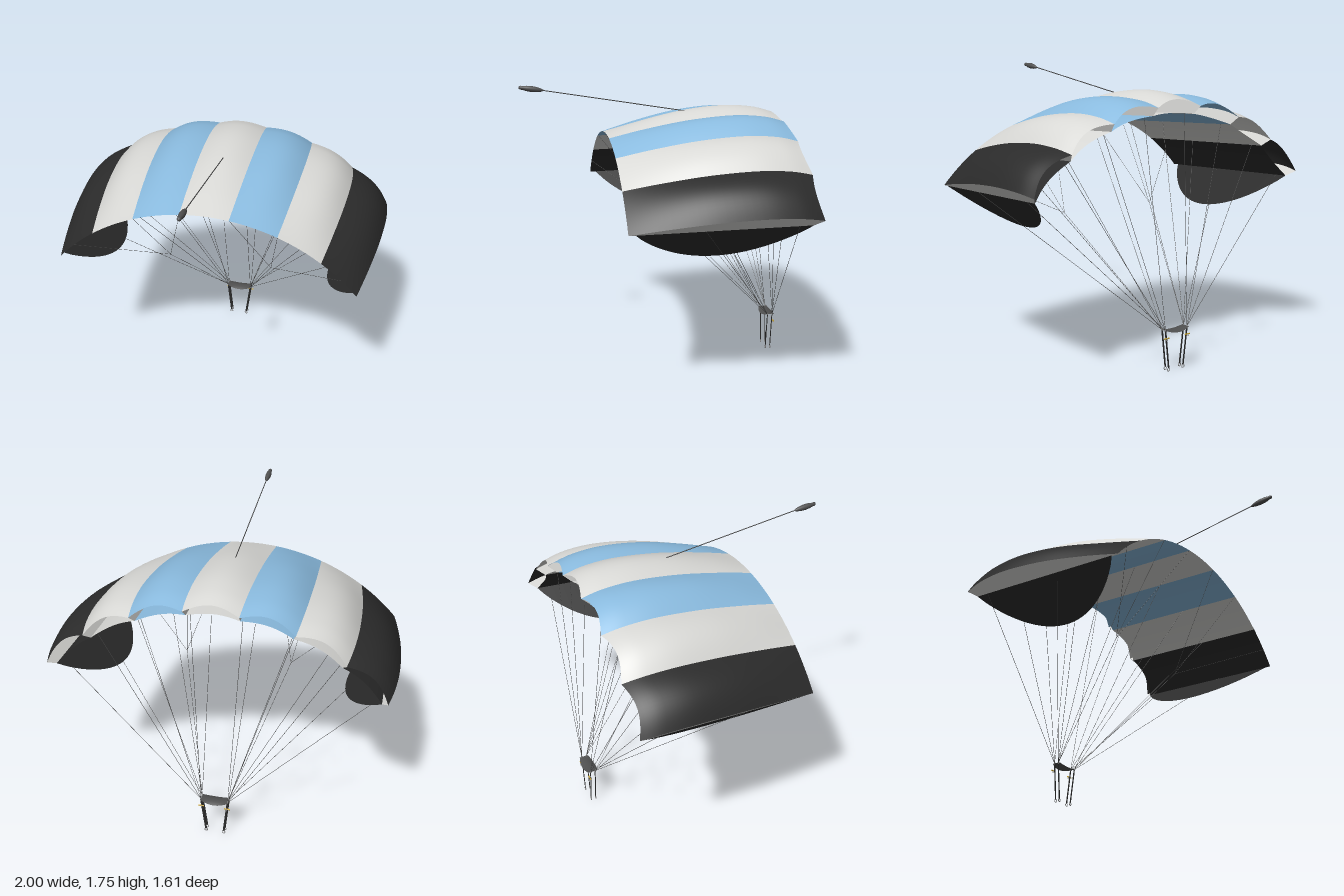
import * as THREE from 'three';
import { ParametricGeometry } from 'three/addons/geometries/ParametricGeometry.js';

const HUB_Y = 0.246;                      // the canopy arches around this height
const CELLS = 7, HALF = 0.8526, STEP = (2 * HALF) / CELLS;
const V = (x, y, z) => new THREE.Vector3(x, y, z);

const mat = (name, color) => {
  const m = new THREE.MeshStandardMaterial({ color, side: THREE.DoubleSide });
  m.name = name;
  return m;
};

// Point at an angle from vertical and a radius from the hub
const polar = (angle, r, z) => V(Math.sin(angle) * r, HUB_Y + Math.cos(angle) * r, z);

// Upper airfoil radius along the chord (0 trailing edge, 1 leading edge)
const PROFILE = [[0, 1.205], [0.2, 1.256], [0.45, 1.305], [0.7, 1.328], [0.88, 1.316], [1, 1.284]];
const profileCurve = new THREE.SplineCurve(PROFILE.map(p => new THREE.Vector2(...p)));
const profileAt = t => profileCurve.getPoint(t);

function topPoint(angle, t, puff) {
  const p = profileAt(t);
  const bulge = 0.032 * puff * Math.sin(Math.min(1, p.x * 1.5) * Math.PI / 2);
  return polar(angle, p.y + bulge, 0.28 - p.x * (1.07 - 0.028 * puff * p.x));
}

function bottomPoint(angle, t, puff) {
  const u = profileAt(t).x;
  return polar(angle, 1.205 + 0.031 * u, 0.28 - u * (1.02 - 0.028 * puff * u));
}

export function createModel() {
  const model = new THREE.Group();
  model.name = 'parachute';
  const white = mat('whiteFabric', 0xd9d9d6);
  const blue = mat('blueFabric', 0x8abbdf);
  const black = mat('blackFabric', 0x2b2b2b);
  const grey = mat('greyFabric', 0x505050);
  const cord = mat('cord', 0x484848);
  const metal = mat('metal', 0x8a8a8a);
  const yellow = mat('yellowToggle', 0xc9a227);

  const add = (name, geometry, material, parent = model) => {
    const mesh = new THREE.Mesh(geometry, material);
    mesh.name = name;
    parent.add(mesh);
    return mesh;
  };
  const surface = (name, fn, nu, nv, material, parent) => {
    const g = new ParametricGeometry((u, v, target) => target.copy(fn(u, v)), nu, nv);
    g.computeVertexNormals();
    return add(name, g, material, parent);
  };
  const rod = (name, a, b, r, material, parent, sides = 5) => {
    const mesh = add(name, new THREE.CylinderGeometry(r, r, a.distanceTo(b), sides), material, parent);
    mesh.position.copy(a).lerp(b, 0.5);
    mesh.quaternion.setFromUnitVectors(V(0, 1, 0), b.clone().sub(a).normalize());
    return mesh;
  };

  // Canopy cells, open at the leading edge
  const canopy = new THREE.Group();
  canopy.name = 'canopy';
  model.add(canopy);
  const colours = [black, white, blue, white, blue, white, black];
  colours.forEach((material, i) => {
    const start = -HALF + i * STEP;
    const skin = fn => (s, t) => fn(start + s * STEP, t, Math.sin(Math.PI * s));
    surface('upperSkin', skin(topPoint), 14, 28, material, canopy);
    surface('lowerSkin', skin(bottomPoint), 14, 16, material, canopy);
  });

  // Ribs between the cells, and the end walls
  for (let i = 0; i <= CELLS; i++) {
    const angle = -HALF + i * STEP;
    surface('rib', (t, s) => bottomPoint(angle, t, 0).lerp(topPoint(angle, t, 0), s), 28, 2, white, canopy);
  }

  for (const side of [-1, 1]) {
    const half = new THREE.Group();
    half.name = side > 0 ? 'leftRigging' : 'rightRigging';
    model.add(half);

    // Curved stabilizer panel hanging below the wing tip
    surface('stabilizer', (t, s) => {
      const z = 0.24 - 0.98 * t;
      const edge = 1.205 + 0.031 * (0.28 - z) / 1.02;
      return polar(side * HALF, edge - s * 0.315 * Math.pow(4 * t * (1 - t), 0.9), z);
    }, 28, 3, black, half);

    // Risers with a link on top and a ring at the foot
    const tops = [-0.785, -0.755].map(z => V(side * 0.082, 0.25, z));
    for (const top of tops) {
      const foot = V(side * 0.055, 0.025, top.z);
      const strap = rod('riser', foot, top, 0.006, black, half, 8);
      strap.scale.z = 0.4;
      rod('riserLink', top.clone().add(V(0, -0.006, 0)), top.clone().add(V(0, 0.008, 0)), 0.004, metal, half, 8);
      add('riserRing', new THREE.TorusGeometry(0.009, 0.0025, 6, 16), metal, half)
        .position.set(side * 0.055, 0.015, top.z);
    }

    // Steering toggle
    rod('toggle', V(side * 0.062, 0.205, -0.793), V(side * 0.098, 0.205, -0.793), 0.004, yellow, half, 8);
    const loop = add('toggleRing', new THREE.TorusGeometry(0.007, 0.002, 6, 14), metal, half);
    loop.position.set(side * 0.078, 0.2, -0.794);
    loop.rotation.y = Math.PI / 2;

    // Suspension lines from the risers to each seam
    for (let k = 0; k < 4; k++) {
      const angle = side * (0.5 + k) * STEP;
      const at = z => polar(angle, 1.205 + 0.031 * (0.28 - z) / 1.02, z);
      rod('frontLine', tops[0], at(-0.66), 0.0013, cord, half);
      rod('rearLine', tops[1], at(-0.14), 0.0013, cord, half);
    }

    // Brake lines fanning out to the trailing edge
    const node = V(side * 0.33, 0.87, -0.14);
    rod('brakeLine', tops[1], node, 0.0012, cord, half);
    for (const a of [0.5 * STEP, 1.5 * STEP, 0.745]) {
      rod('brakeBranch', node, polar(side * a, 1.205, 0.275), 0.0011, cord, half);
    }
  }

  // Slider: a sagging cloth between the risers
  surface('slider', (u, v) => {
    const x = 2 * u - 1, z = 2 * v - 1;
    return V(x * 0.085, 0.235 + 0.016 * x * x + 0.012 * (1 - z * z) * (1 - x * x),
      -0.77 + z * (0.028 + 0.014 * (1 - x * x)));
  }, 14, 8, grey);

  // Pilot chute trailing on its bridle
  const bridleEnd = V(0, 1.718, 0.65), tip = V(0, 1.738, 0.795);
  rod('bridle', V(0, 1.578, -0.21), bridleEnd, 0.003, cord);
  const shape = [[0.002, -0.075], [0.009, -0.06], [0.015, -0.035], [0.018, 0], [0.016, 0.03],
    [0.011, 0.055], [0.012, 0.065], [0.008, 0.074], [0, 0.077]];
  const pilot = add('pilotChute', new THREE.LatheGeometry(shape.map(p => new THREE.Vector2(...p)), 20), grey);
  pilot.position.copy(bridleEnd).lerp(tip, 0.5);
  pilot.quaternion.setFromUnitVectors(V(0, 1, 0), tip.clone().sub(bridleEnd).normalize());

  return model;
}
